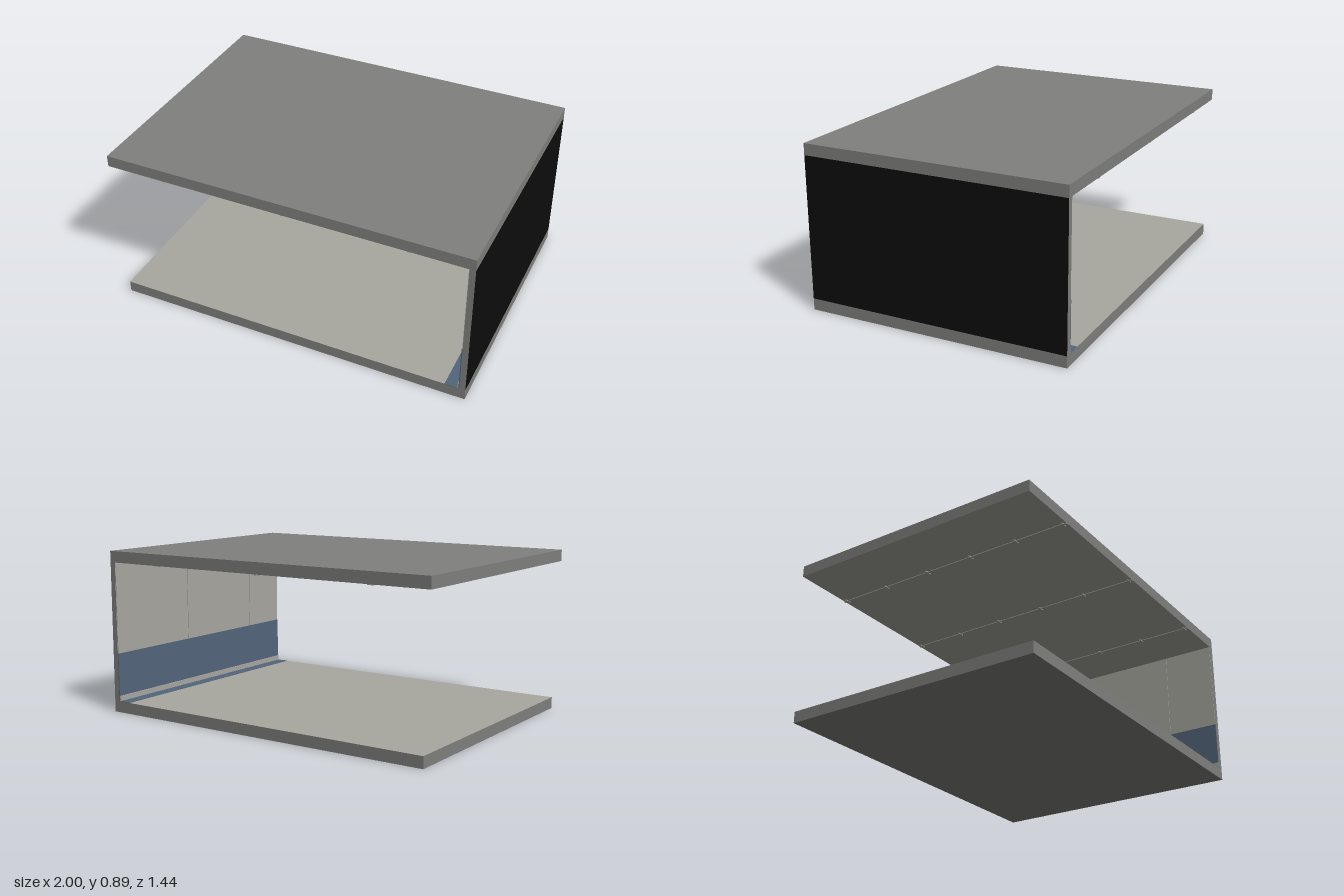
import * as THREE from 'three';

export function createModel() {
  const model = new THREE.Group();
  const mat = (name, color) => {
    const m = new THREE.MeshStandardMaterial({ color });
    m.name = name;
    return m;
  };
  const concrete = mat('concrete grey', 0x80807e);
  const plaster = mat('warm plaster', 0xa9a8a0);
  const blue = mat('blue paint', 0x53667c);
  const black = mat('black backing', 0x0d0d0d);
  const DEPTH = 1.44, FLOOR = 0.062, CEILING = 0.833, TOP = 0.895, WALL = 0.968;

  // Box given by its limits on each axis; materials may be one per face
  function box(name, material, [x0, x1], [y0, y1], [z0, z1], parent = model) {
    const mesh = new THREE.Mesh(new THREE.BoxGeometry(x1 - x0, y1 - y0, z1 - z0), material);
    mesh.position.set((x0 + x1) / 2, (y0 + y1) / 2, (z0 + z1) / 2);
    mesh.name = name;
    parent.add(mesh);
  }
  function faces(changes) {
    const list = Array(6).fill(concrete);
    for (const [face, material] of Object.entries(changes)) list[face] = material;
    return list;
  }
  const full = [-DEPTH / 2, DEPTH / 2];

  // Slabs and side wall; face order is +x, -x, +y, -y, +z, -z
  box('floorSlab', faces({ 2: plaster }), [-0.97, 1], [0, FLOOR], full);
  box('roofSlab', faces({ 3: plaster }), [-1, 1], [CEILING, TOP], full);
  box('sideWall', faces({ 0: black, 1: plaster }), [WALL, 1], [FLOOR, CEILING], full);

  // Upper wall panels with narrow seams
  const panels = new THREE.Group();
  panels.name = 'wallPanels';
  model.add(panels);
  const seams = [-0.72, -0.144, 0.432, 0.72];
  for (let i = 0; i < 3; i++) {
    box('wallPanel', plaster, [WALL - 0.003, WALL], [0.33, CEILING - 0.01],
      [seams[i] + 0.002, seams[i + 1] - 0.002], panels);
  }

  // Painted lower wall, skirting and floor border
  box('lowerWallPaint', blue, [WALL - 0.005, WALL], [FLOOR, 0.33], full);
  box('skirting', plaster, [WALL - 0.011, WALL - 0.005], [FLOOR, 0.092], full);
  box('floorBorder', blue, [0.89, WALL - 0.011], [FLOOR, FLOOR + 0.002], full);

  // Ceiling rails with cross clips
  const rails = new THREE.Group();
  rails.name = 'ceilingRails';
  model.add(rails);
  for (const x of [-0.667, 0, 0.667]) {
    box('rail', plaster, [x - 0.006, x + 0.006], [CEILING - 0.004, CEILING], full, rails);
    for (let i = 0; i < 6; i++) {
      const z = -0.7 + i * 0.28;
      box('railClip', plaster, [x - 0.018, x + 0.018], [CEILING - 0.006, CEILING],
        [z - 0.005, z + 0.005], rails);
    }
  }
  return model;
}
